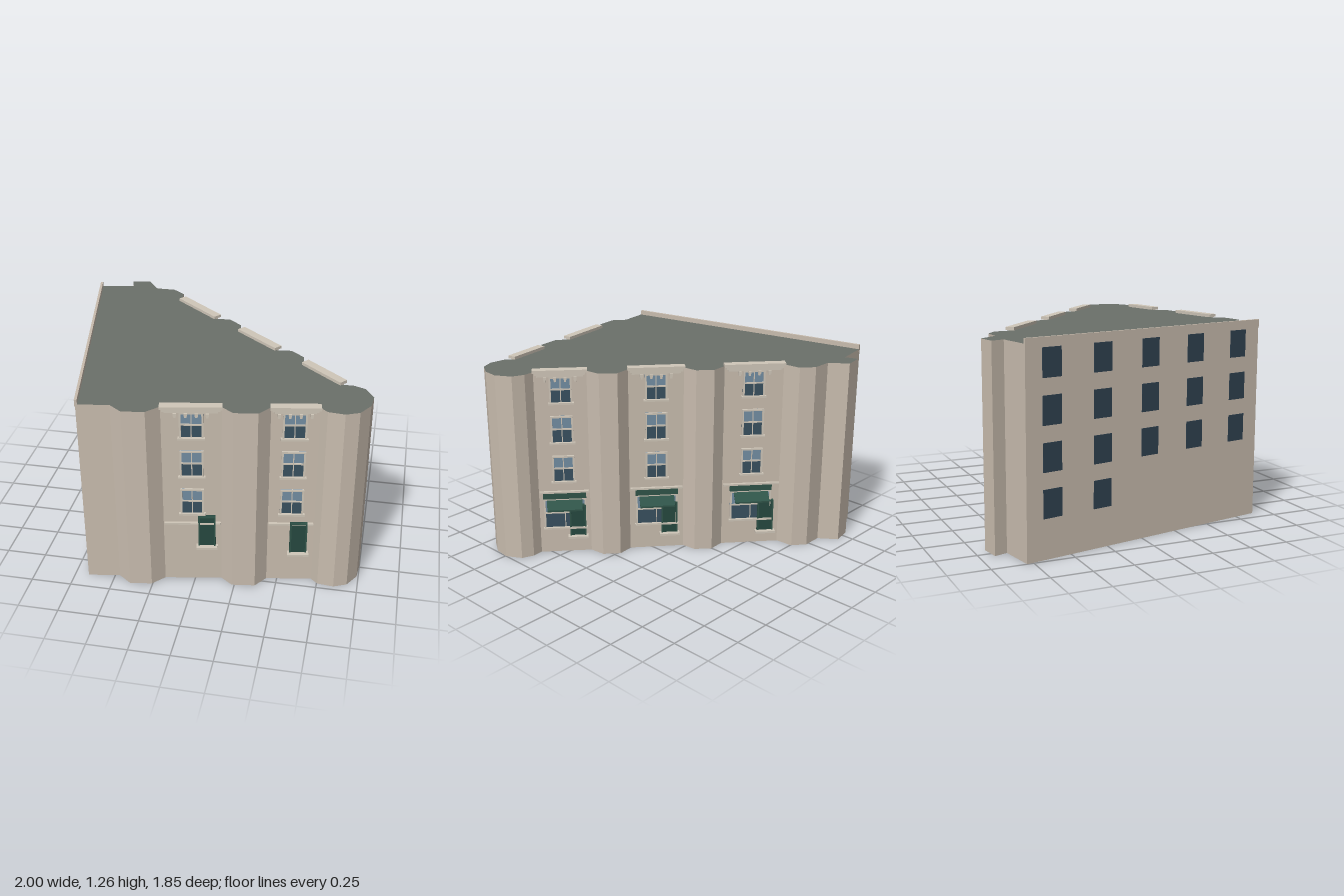
import * as THREE from 'three';

const mat = (color) => new THREE.MeshStandardMaterial({ color });
const M = {
  wall: mat(0xc8bcae), roof: mat(0x6b706a), trim: mat(0xcfc6b8), green: mat(0x2f5348),
  panel: mat(0x26483f), glassLow: mat(0x38505f), glassTop: mat(0x728da2), pane: mat(0x2f4150),
};
const H = 1.23;

// Box given by centre x, bottom and top y, inner and outer z
function slab(parent, name, material, x, w, y0, y1, z0, z1) {
  const m = new THREE.Mesh(new THREE.BoxGeometry(w, y1 - y0, z1 - z0), material);
  m.position.set(x, (y0 + y1) / 2, (z0 + z1) / 2);
  m.name = name;
  parent.add(m);
  return m;
}

// Group on a wall: x runs to the right seen from outside, z points outward
function wallFrame(name, [x0, z0], [x1, z1]) {
  const g = new THREE.Group();
  g.name = name;
  g.position.set((x0 + x1) / 2, 0, (z0 + z1) / 2);
  g.rotation.y = Math.atan2(-(z1 - z0), x1 - x0);
  g.userData.width = Math.hypot(x1 - x0, z1 - z0);
  return g;
}

// Framed two-part window with a centre bar, a transom and a sill
function sashWindow(parent, name, x, w, y0, y1, sillExtra) {
  const g = new THREE.Group();
  g.name = name;
  parent.add(g);
  const t = 0.011, mid = y0 + (y1 - y0) * 0.52;
  slab(g, 'lowerGlass', M.glassLow, x, w, y0, mid, -0.01, 0.003);
  slab(g, 'upperGlass', M.glassTop, x, w, mid, y1, -0.01, 0.003);
  for (const s of [-1, 1]) slab(g, 'jamb', M.trim, x + s * (w - t) / 2, t, y0, y1, -0.01, 0.014);
  slab(g, 'head', M.trim, x, w, y1 - t, y1, -0.01, 0.015);
  slab(g, 'centreBar', M.trim, x, 0.006, y0, y1, -0.01, 0.007);
  slab(g, 'transom', M.trim, x, w, mid - 0.005, mid + 0.005, -0.01, 0.009);
  slab(g, 'sill', M.trim, x, w + sillExtra, y0 - 0.005, y0 + 0.007, -0.01, 0.022);
}

// Panelled door with its frame and step
function door(parent, x, y0, z) {
  const g = new THREE.Group();
  g.name = 'door';
  parent.add(g);
  const w = 0.105, y1 = y0 + 0.215, t = 0.01;
  slab(g, 'doorPanel', M.panel, x, w, y0, y1, -0.01, z);
  for (const s of [-1, 1]) slab(g, 'doorJamb', M.green, x + s * (w - t) / 2, t, y0, y1, -0.01, z + 0.007);
  slab(g, 'doorHead', M.green, x, w, y1 - t, y1, -0.01, z + 0.008);
  slab(g, 'doorStep', M.trim, x, w + 0.025, y0 - 0.014, y0, -0.01, z + 0.03);
}

// Cornice of stacked mouldings with four brackets
function cornice(parent, w) {
  const g = new THREE.Group();
  g.name = 'cornice';
  parent.add(g);
  slab(g, 'corniceCap', M.trim, 0, w + 0.01, 1.232, 1.25, -0.012, 0.042);
  slab(g, 'corniceMoulding', M.trim, 0, w - 0.015, 1.214, 1.232, -0.01, 0.03);
  slab(g, 'corniceBase', M.trim, 0, w - 0.04, 1.2, 1.214, -0.01, 0.02);
  for (let i = 0; i < 4; i++) {
    const x = (i - 1.5) * 0.062;
    slab(g, 'bracketTop', M.trim, x, 0.018, 1.183, 1.2, -0.01, 0.03);
    slab(g, 'bracketFoot', M.trim, x, 0.013, 1.168, 1.183, -0.01, 0.02);
  }
}

// Sloping awning with a short valance
function awning(parent, x, w) {
  const s = new THREE.Shape([[0, 0.372], [0, 0.381], [0.085, 0.333], [0.085, 0.322], [0.079, 0.326]]
    .map(([a, b]) => new THREE.Vector2(a, b)));
  const geo = new THREE.ExtrudeGeometry(s, { depth: w, bevelEnabled: false });
  geo.rotateY(-Math.PI / 2);
  geo.translate(x + w / 2, 0, 0);
  const m = new THREE.Mesh(geo, M.green);
  m.name = 'awning';
  parent.add(m);
}

export function createModel() {
  const root = new THREE.Group();
  root.name = 'cornerBuilding';

  // Body: wedge plan with projecting piers and a rounded nose, as x, z
  const plan = [
    [-1, -0.79], [-0.775, -0.83], [-0.8, -0.91], [-0.68, -0.93], [-0.6, -0.82], [-0.475, -0.82],
    [-0.395, -0.755], [-0.385, -0.64], [-0.1, -0.395], [0, -0.4], [0.085, -0.325], [0.095, -0.23],
    [0.36, -0.005], [0.46, -0.015], [0.545, 0.06], [0.555, 0.16], [0.8, 0.375], [0.87, 0.37],
    [0.945, 0.4], [1, 0.495], [0.99, 0.595], [0.935, 0.685], [0.855, 0.72], [0.755, 0.71],
    [0.71, 0.67], [0.435, 0.717], [0.375, 0.8], [0.235, 0.82], [0.16, 0.765], [-0.185, 0.825],
    [-0.255, 0.9], [-0.39, 0.92], [-0.47, 0.86], [-0.665, 0.89],
  ];
  const shape = new THREE.Shape(plan.map(([x, z]) => new THREE.Vector2(x, -z)));
  const geo = new THREE.ExtrudeGeometry(shape, { depth: H, bevelEnabled: false });
  geo.rotateX(-Math.PI / 2);
  const body = new THREE.Mesh(geo, [M.roof, M.wall]);
  body.name = 'buildingBody';
  root.add(body);

  // Window bays between the piers: plan corners, door offset and door bottom
  const bays = [
    { l: 29, r: 28, doorX: 0.087, doorY: 0.265 },
    { l: 25, r: 24, doorX: 0.048, doorY: 0.22 },
    { l: 16, r: 15, doorX: 0.08, doorY: 0.12, shop: true },
    { l: 12, r: 11, doorX: 0.083, doorY: 0.11, shop: true },
    { l: 8, r: 7, doorX: 0.1, doorY: 0.093, shop: true },
  ];
  for (const b of bays) {
    const g = wallFrame(b.shop ? 'shopBay' : 'frontBay', plan[b.l], plan[b.r]);
    const w = g.userData.width;
    root.add(g);
    cornice(g, w);
    for (const [y0, y1] of [[1.025, 1.2], [0.76, 0.942], [0.495, 0.675]])
      sashWindow(g, 'window', 0, 0.14, y0, y1, 0.02);
    slab(g, 'stringCourse', M.trim, 0, w - 0.01, 0.42, 0.432, -0.01, 0.018);
    if (b.shop) {
      slab(g, 'shopFascia', M.green, 0, 0.275, 0.38, 0.42, -0.01, 0.016);
      sashWindow(g, 'shopWindow', 0, 0.27, 0.172, 0.38, 0.015);
      awning(g, 0, 0.225);
    }
    door(g, b.doorX, b.doorY, 0.014);
  }

  // Party wall: coping and plain panes, only two in the lowest row
  const side = wallFrame('partyWall', plan[0], plan[33]);
  const L = side.userData.width;
  root.add(side);
  slab(side, 'coping', M.wall, 0, L, 1.215, 1.26, -0.012, 0.004);
  [1.035, 0.77, 0.505, 0.24].forEach((y, row) => {
    for (let i = 0; i < (row === 3 ? 2 : 5); i++)
      slab(side, 'sidePane', M.pane, (i - 2) * 0.2 * L, 0.125, y, y + 0.168, -0.01, 0.003);
  });
  return root;
}
